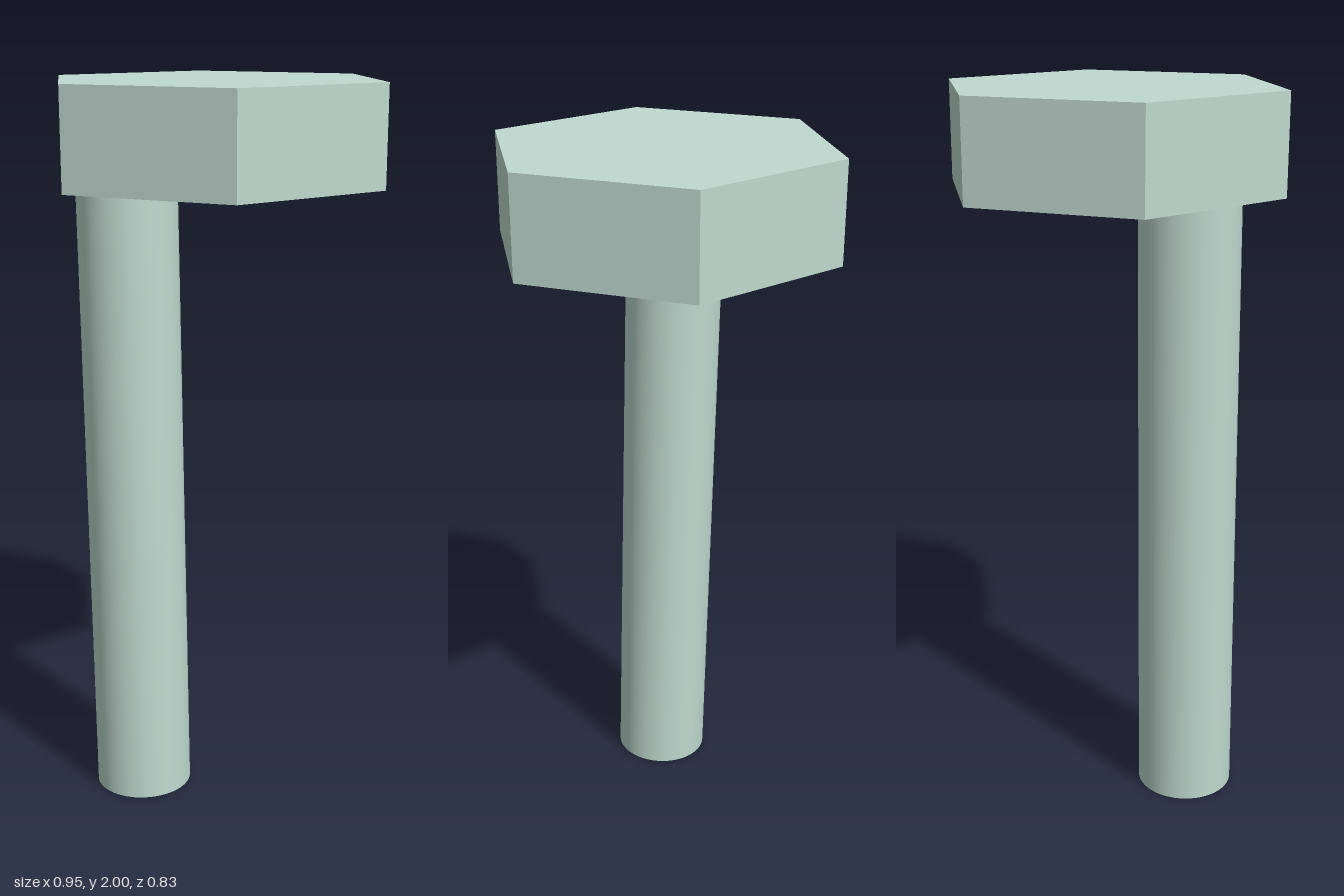
import * as THREE from 'three';

export function createModel() {
  const model = new THREE.Group();
  const color = 0xbfd9cf;

  // Hexagonal head, corners pointing along x
  const headHeight = 0.27;
  const headGeometry = new THREE.CylinderGeometry(0.477, 0.477, headHeight, 6);
  headGeometry.rotateY(Math.PI / 2);
  const head = new THREE.Mesh(headGeometry, new THREE.MeshStandardMaterial({ color, flatShading: true }));
  head.name = 'head';
  head.position.y = 2 - headHeight / 2;
  model.add(head);

  // Round shank, off centre and leaning slightly backwards
  const bottom = new THREE.Vector3(-0.24, 0.0035, -0.03);
  const top = new THREE.Vector3(-0.24, 1.736, -0.07);
  const axis = top.clone().sub(bottom);
  const shank = new THREE.Mesh(
    new THREE.CylinderGeometry(0.135, 0.135, axis.length(), 64),
    new THREE.MeshStandardMaterial({ color })
  );
  shank.name = 'shank';
  shank.position.copy(bottom).add(top).multiplyScalar(0.5);
  shank.quaternion.setFromUnitVectors(new THREE.Vector3(0, 1, 0), axis.normalize());
  model.add(shank);

  return model;
}
